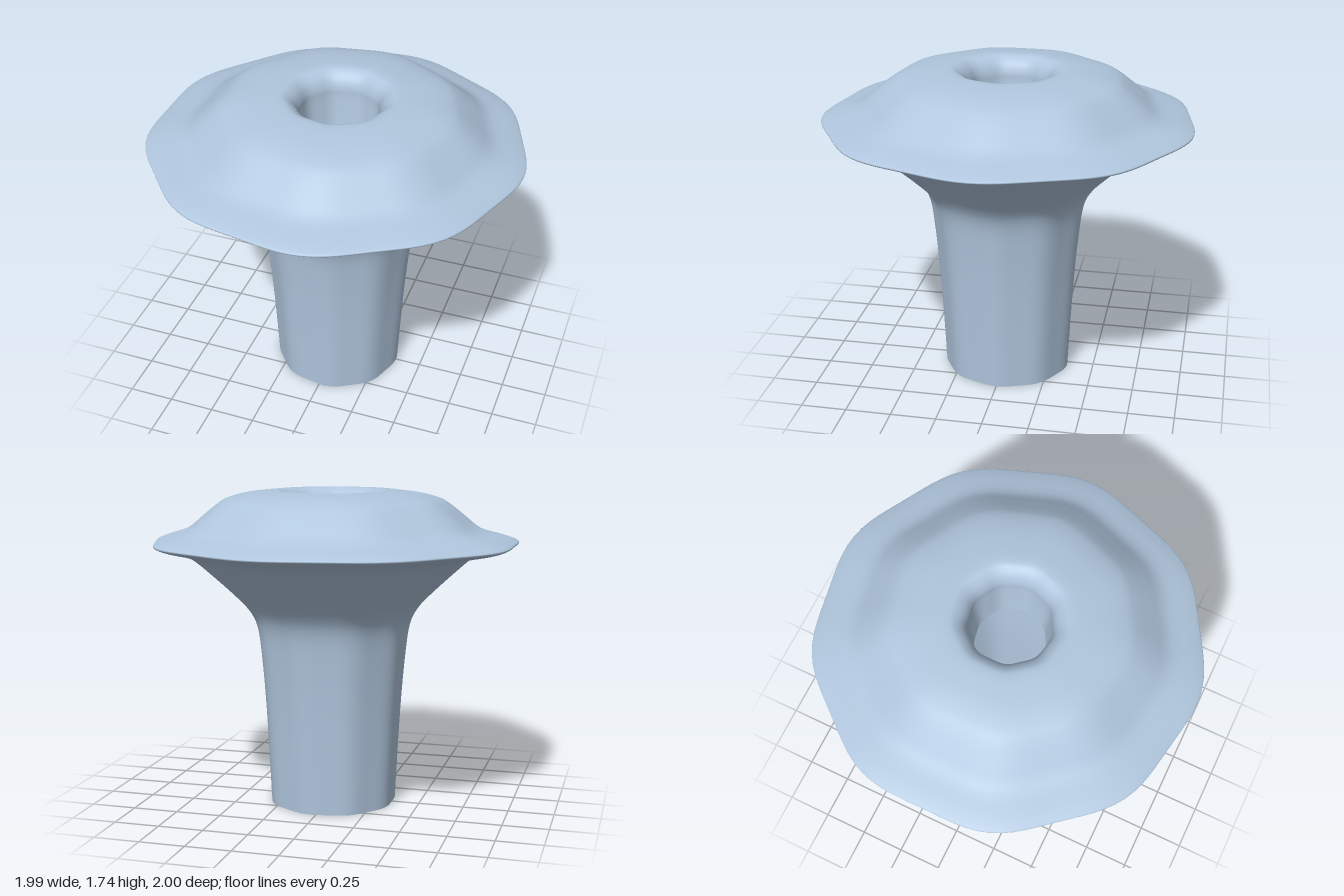
import * as THREE from 'three';
import { mergeVertices } from 'three/addons/utils/BufferGeometryUtils.js';

// Softly nine-sided flared shell, open at the bottom with a hole through the cap
const SIDES = 9;

// Profile as [radius, height], from the foot up over the rim and down into the hole
const PROFILE = [
  [0.35, 0], [0.375, 0.5], [0.4, 0.82], [0.425, 1], [0.475, 1.1], [0.56, 1.19],
  [0.69, 1.31], [0.78, 1.385], [0.85, 1.412], [0.94, 1.432], [0.985, 1.447],
  [0.996, 1.457], [0.985, 1.467], [0.93, 1.487], [0.81, 1.525], [0.72, 1.595],
  [0.65, 1.652], [0.59, 1.69], [0.5, 1.717], [0.4, 1.732], [0.31, 1.738],
  [0.27, 1.727], [0.235, 1.695], [0.216, 1.65], [0.212, 1.6], [0.2, 1.5], [0.185, 1.4],
];

function roundedNonagon(geometry) {
  const pos = geometry.attributes.position;
  for (let i = 0; i < pos.count; i++) {
    const x = pos.getX(i), z = pos.getZ(i);
    const r = Math.hypot(x, z);
    const scale = 1 + 0.0145 * Math.cos(SIDES * Math.atan2(z, x));
    // the rim overhangs slightly towards -x
    const shift = -0.014 * THREE.MathUtils.smoothstep(r, 0.75, 1);
    pos.setX(i, x * scale + shift);
    pos.setZ(i, z * scale);
  }
}

export function createModel() {
  const group = new THREE.Group();
  const paleBlue = new THREE.MeshStandardMaterial({ color: 0xb0c6dd, side: THREE.DoubleSide });
  paleBlue.name = 'paleBlue';

  const curve = new THREE.SplineCurve(PROFILE.map(([r, y]) => new THREE.Vector2(r, y)));
  let shell = new THREE.LatheGeometry(curve.getPoints(104), SIDES * 12);
  roundedNonagon(shell);

  // weld the seam so the shading is smooth all the way round
  shell.deleteAttribute('uv');
  shell.deleteAttribute('normal');
  shell = mergeVertices(shell, 1e-5);
  shell.computeVertexNormals();

  const mesh = new THREE.Mesh(shell, paleBlue);
  mesh.name = 'flaredShell';
  group.add(mesh);
  return group;
}
